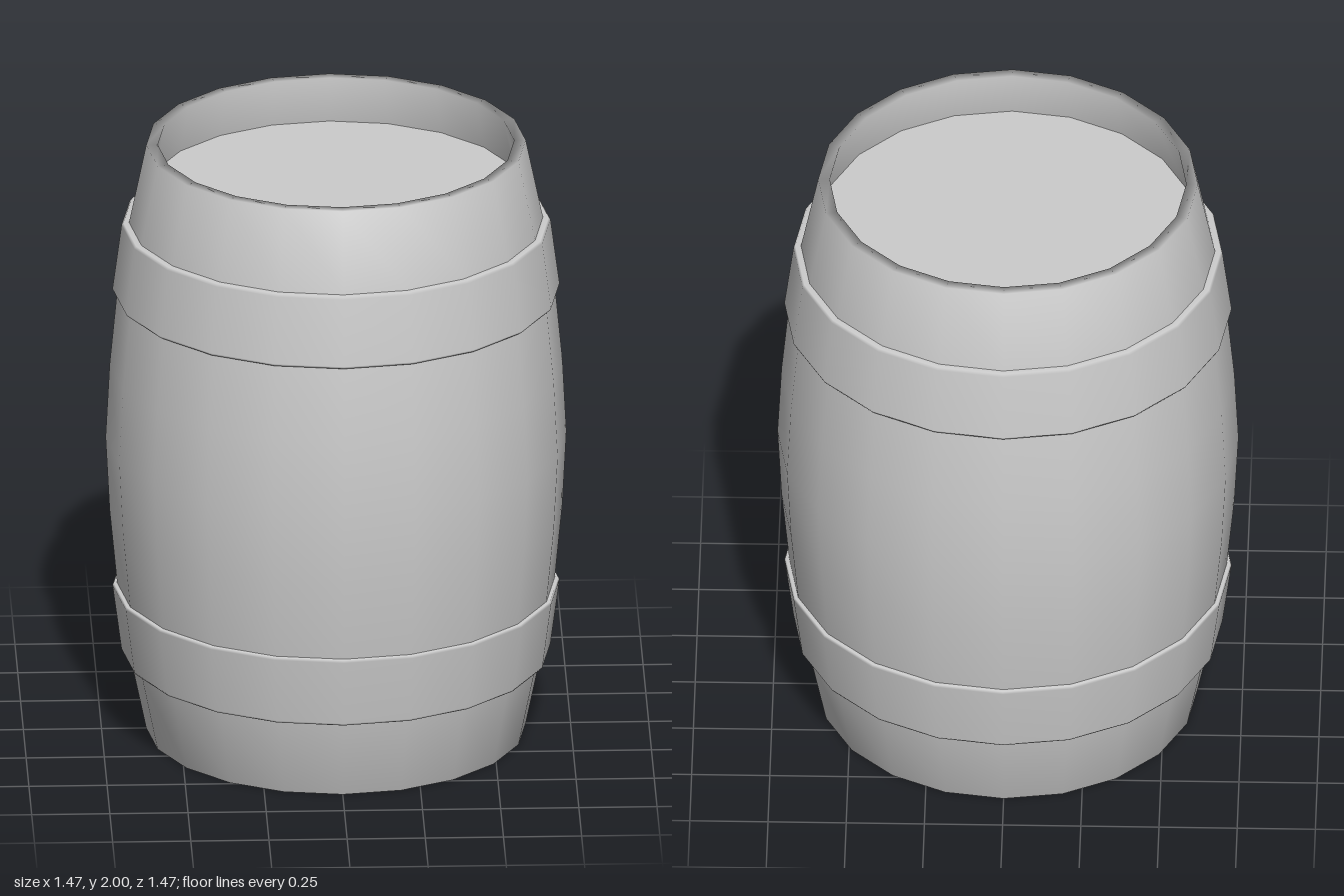
import * as THREE from 'three';

const SIDES = 20;
const material = new THREE.MeshStandardMaterial({ color: 0xcccccc });

function lathe(name, profile) {
  const points = profile.map(([r, y]) => new THREE.Vector2(r, y));
  const mesh = new THREE.Mesh(new THREE.LatheGeometry(points, SIDES), material);
  mesh.name = name;
  return mesh;
}

// Reflect a profile about mid-height, reversed so it still faces outward
const flip = (profile) => profile.map(([r, y]) => [r, 2 - y]).reverse();

export function createModel() {
  const group = new THREE.Group();
  group.name = 'barrel';

  // Bulging staves with a rim that turns down inside to the lid
  const upper = [
    [0.724, 1.25], [0.7, 1.5], [0.661, 1.74], [0.607, 2],
    [0.57, 2], [0.6, 1.84],
  ];
  group.add(lathe('staves', [...flip(upper), [0.737, 1], ...upper]));

  // Hoops, wider towards the middle, with softened edges
  const hoop = [
    [0.69, 1.5], [0.711, 1.5], [0.715, 1.508],
    [0.686, 1.727], [0.68, 1.735], [0.65, 1.735],
  ];
  group.add(lathe('upperHoop', hoop), lathe('lowerHoop', flip(hoop)));

  // Recessed lid and base
  for (const [name, y, turn] of [['lid', 1.84, -1], ['base', 0.16, 1]]) {
    const disc = new THREE.Mesh(new THREE.CircleGeometry(0.6, SIDES), material);
    disc.name = name;
    disc.rotation.x = turn * Math.PI / 2;
    disc.position.y = y;
    group.add(disc);
  }

  return group;
}
